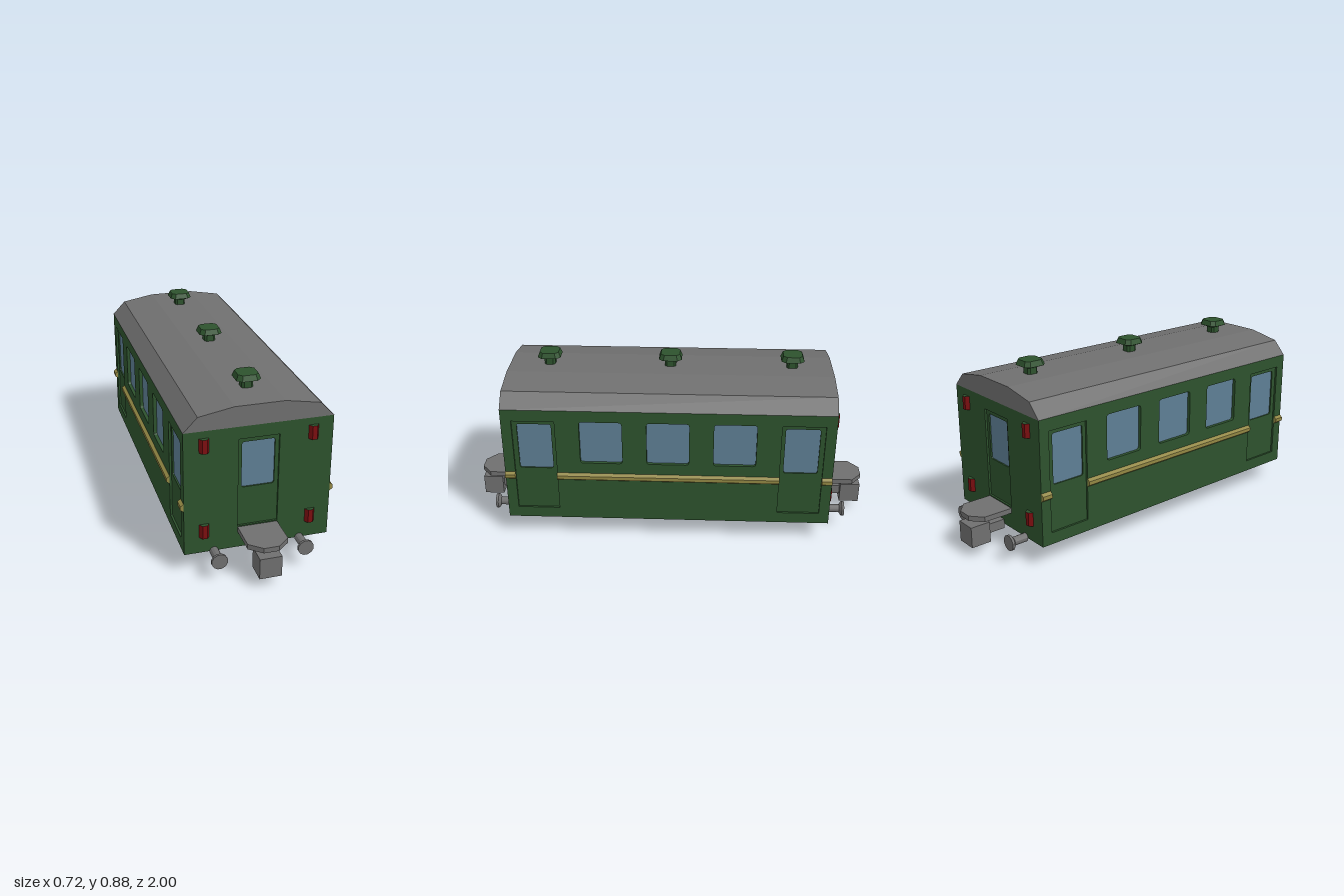
import * as THREE from 'three';

const mat = (name, color) => Object.assign(new THREE.MeshStandardMaterial({ color, flatShading: true }), { name });

const HX = 0.343, HZ = 0.805, Y0 = 0.108, Y1 = 0.715; // body half sizes, sill and eaves
const SKIN = 0.02, PANEL = 0.01;                      // wall thickness, door leaf thickness

// Rectangle outline with rounded corners, as a Shape or a Path for a hole
function roundedRect(target, x0, x1, y0, y1, r) {
  target.moveTo(x0 + r, y0);
  target.lineTo(x1 - r, y0);
  target.quadraticCurveTo(x1, y0, x1, y0 + r);
  target.lineTo(x1, y1 - r);
  target.quadraticCurveTo(x1, y1, x1 - r, y1);
  target.lineTo(x0 + r, y1);
  target.quadraticCurveTo(x0, y1, x0, y1 - r);
  target.lineTo(x0, y0 + r);
  target.quadraticCurveTo(x0, y0, x0 + r, y0);
  return target;
}

const polygon = (pts) => new THREE.Shape(pts.map(([x, y]) => new THREE.Vector2(x, y)));
const extrude = (shape, depth) => new THREE.ExtrudeGeometry(shape, { depth, bevelEnabled: false, curveSegments: 3 });

export function createModel() {
  const green = mat('coachGreen', 0x2d522d);
  const grey = mat('roofGrey', 0x6f6f6f);
  const blue = mat('windowBlue', 0x5e7e94);
  const red = mat('lampRed', 0x7c0e10);
  const yellow = mat('stripeYellow', 0x928743);

  const model = new THREE.Group();
  model.name = 'railwayCoach';
  const add = (parent, name, geo, material, x = 0, y = 0, z = 0) => {
    const m = new THREE.Mesh(geo, material);
    m.name = name;
    m.position.set(x, y, z);
    parent.add(m);
    return m;
  };

  // Wall facing local +z, its inner face at z = 0, with recessed doors and windows
  function buildWall(name, half, doors, windows) {
    const wall = new THREE.Group();
    wall.name = name;
    const skin = polygon([[-half, Y0], [half, Y0], [half, Y1], [-half, Y1]]);
    const glass = (x0, x1, y0, y1) =>
      add(wall, 'windowPane', extrude(roundedRect(new THREE.Shape(), x0, x1, y0, y1, 0.012), 0.003), blue);
    for (const w of windows) {
      skin.holes.push(roundedRect(new THREE.Path(), ...w, 0.015));
      glass(...w);
    }
    for (const { leaf: [x0, x1, y0, y1], pane } of doors) {
      skin.holes.push(roundedRect(new THREE.Path(), x0, x1, y0, y1, 0.002));
      const leaf = polygon([[x0, y0], [x1, y0], [x1, y1], [x0, y1]]);
      leaf.holes.push(roundedRect(new THREE.Path(), ...pane, 0.012));
      add(wall, 'door', extrude(leaf, PANEL), green);
      glass(...pane);
    }
    add(wall, 'wallSkin', extrude(skin, SKIN), green);
    model.add(wall);
    return wall;
  }

  // Body core and roof
  add(model, 'bodyCore', new THREE.BoxGeometry(2 * (HX - SKIN), Y1 - Y0, 2 * (HZ - SKIN)), green, 0, (Y0 + Y1) / 2, 0);
  add(model, 'roof', extrude(polygon([[-HX, Y1], [HX, Y1], [0.278, 0.783], [0.115, 0.812], [-0.115, 0.812], [-0.278, 0.783]]), 2 * HZ),
    grey, 0, 0, -HZ);

  // Roof ventilators: eight-sided with narrow corners
  const ventGeo = new THREE.LatheGeometry(
    [[0.027, 0.8], [0.027, 0.842], [0.057, 0.854], [0.047, 0.88], [0, 0.88]]
      .map(([r, y]) => new THREE.Vector2(r / Math.cos(Math.PI / 8), y)), 8, Math.PI / 8);
  const p = ventGeo.attributes.position;
  for (let i = 0; i < p.count; i++) {
    const x = p.getX(i), z = p.getZ(i);
    if (Math.abs(x) < Math.abs(z)) p.setX(i, x * 1.5);
    else p.setZ(i, z * 1.5);
  }
  for (const z of [-0.605, 0, 0.605]) add(model, 'roofVent', ventGeo, green, 0, 0, z);

  // Stripe moulding along a side, chamfered
  const stripeShape = polygon([[0, 0.332], [0.015, 0.343], [0.015, 0.361], [0, 0.372]]);

  for (const s of [1, -1]) {
    // Side wall with two doors and three windows
    const side = buildWall(s > 0 ? 'leftWall' : 'rightWall', HZ,
      [-1, 1].map((d) => ({
        leaf: [d * 0.65 - 0.104, d * 0.65 + 0.104, 0.165, 0.655],
        pane: [d * 0.647 - 0.083, d * 0.647 + 0.083, 0.392, 0.636],
      })),
      [-0.325, 0, 0.325].map((c) => [c - 0.103, c + 0.103, 0.43, 0.656]));
    side.rotation.y = s * Math.PI / 2;
    side.position.x = s * (HX - SKIN);
    for (const [z0, z1] of [[-HZ, -0.754], [-0.546, 0.546], [0.754, HZ]]) {
      const stripe = add(side, 'stripe', extrude(stripeShape, z1 - z0), yellow, z0, 0, SKIN);
      stripe.rotation.y = Math.PI / 2;
      stripe.scale.x = -1; // lay the moulding along the wall, facing outward
    }

    // End wall with gangway door
    const end = buildWall(s > 0 ? 'frontWall' : 'backWall', HX - SKIN,
      [{ leaf: [-0.094, 0.094, 0.218, 0.655], pane: [-0.076, 0.076, 0.41, 0.634] }], []);
    end.rotation.y = s > 0 ? 0 : Math.PI;
    end.position.z = s * (HZ - SKIN);
    const zEnd = HZ - SKIN;

    // Lamps: red faces with green caps
    const lampGeo = extrude(polygon([[-0.023, 0], [0.023, 0], [0.011, 0.018], [-0.011, 0.018]]), 0.067).rotateX(Math.PI / 2);
    for (const x of [-0.25, 0.25]) for (const y of [0.255, 0.681])
      add(end, 'lamp', lampGeo, [green, red], x, y, SKIN);

    // Gangway footplate
    add(end, 'footplate', extrude(polygon([[-0.094, 0], [0.094, 0], [0.094, 0.95 - HZ], [0.035, 1 - HZ], [-0.035, 1 - HZ], [-0.094, 0.95 - HZ]]), 0.025)
      .rotateX(Math.PI / 2), grey, 0, 0.213, SKIN);

    // Coupler block on its shaft
    add(end, 'couplerHead', new THREE.BoxGeometry(0.104, 0.102, 0.1), grey, 0, 0.106, 0.95 - zEnd);
    add(end, 'couplerShaft', new THREE.BoxGeometry(0.05, 0.046, 0.1), grey, 0, 0.108, 0.855 - zEnd);

    // Buffers
    const bufferGeo = new THREE.LatheGeometry(
      [[0.021, 0], [0.021, 0.07], [0.038, 0.082], [0.038, 0.094], [0, 0.094]].map(([r, y]) => new THREE.Vector2(r, y)), 12, Math.PI / 12)
      .rotateX(Math.PI / 2);
    for (const x of [-0.204, 0.204]) add(end, 'buffer', bufferGeo, grey, x, 0.107, SKIN);

    // Seven-sided bogie block
    add(model, 'bogie', new THREE.CylinderGeometry(0.1436, 0.1436, Y0 + 0.002, 7).rotateY(Math.PI), green, 0, (Y0 + 0.002) / 2, s * 0.405);
  }

  return model;
}

// The stripe's mirrored scale keeps its outward faces correctly wound in three.js.
